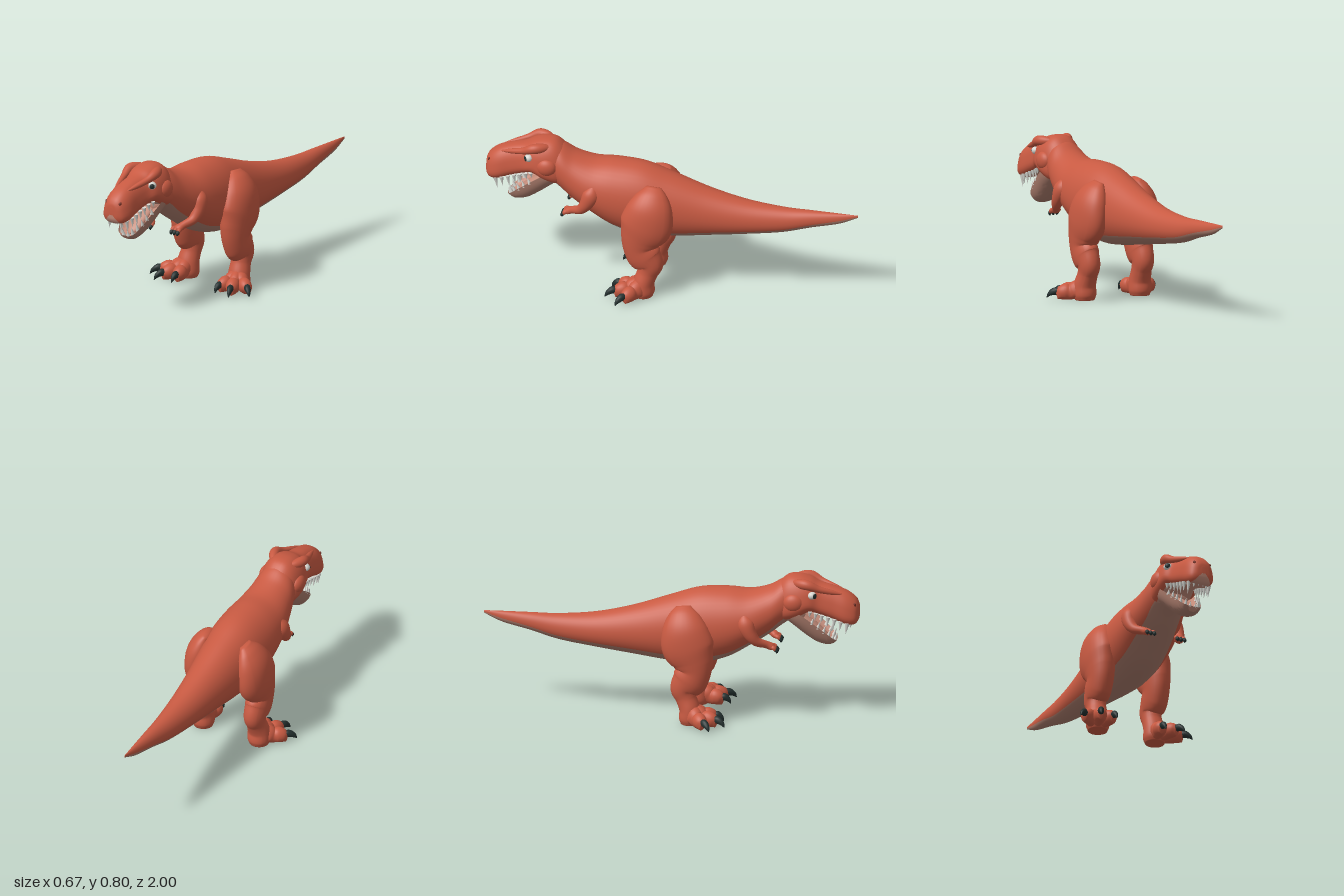
import * as THREE from 'three';
import { toCreasedNormals } from 'three/addons/utils/BufferGeometryUtils.js';

const mat = (name, color) => {
  const m = new THREE.MeshStandardMaterial({ color });
  m.name = name;
  return m;
};

export function createModel() {
  const model = new THREE.Group();
  model.name = 'dinosaur';
  const red = mat('red skin', 0xc85a42);
  const pale = mat('pale belly', 0xab7c6c);
  const pink = mat('mouth pink', 0xc48c7a);
  const ivory = mat('tooth ivory', 0xd6d6d0);
  const dark = mat('claw black', 0x24302f);
  const shade = mat('nostril brown', 0x7c3529);

  const add = (name, geometry, material) => {
    const mesh = new THREE.Mesh(geometry, material);
    mesh.name = name;
    model.add(mesh);
    return mesh;
  };

  // Loft smooth rings through sections [x, y, z, halfWidth, up, down, underAngle].
  // The first material covers the ring within underAngle of its bottom.
  function loft(sections, { steps = 6, under = 6, over = 18, fixed, square = 1, taper = 0 } = {}) {
    const curve = (f) => new THREE.CatmullRomCurve3(sections.map(f), false, 'catmullrom');
    const path = curve((s) => new THREE.Vector3(s[0], s[1], s[2]));
    const size = curve((s) => new THREE.Vector3(s[3], s[4] ?? s[3], s[5] ?? s[4] ?? s[3]));
    const angle = curve((s) => new THREE.Vector3(s[6] ?? 0.8, 0, 0));
    const rows = (sections.length - 1) * steps, n = 2 * under + over;
    const pos = [], low = [], high = [];
    const pw = (v) => Math.sign(v) * Math.abs(v) ** square;
    for (let i = 0; i <= rows; i++) {
      const t = i / rows, c = path.getPoint(t), r = size.getPoint(t), B = angle.getPoint(t).x;
      const T = fixed ?? path.getTangent(t);
      const side = new THREE.Vector3(1, 0, 0).addScaledVector(T, -T.x).normalize();
      const up = new THREE.Vector3().crossVectors(T, side);
      for (let j = 0; j < n; j++) {
        const th = j <= 2 * under
          ? -B + (B * j) / under
          : B + ((2 * Math.PI - 2 * B) * (j - 2 * under)) / over;
        const h = -pw(Math.cos(th));
        const w = pw(Math.sin(th)) * Math.max(r.x, 0.001) * (1 - taper * h);
        const p = c.clone().addScaledVector(side, w).addScaledVector(up, h * (h > 0 ? r.y : r.z));
        pos.push(p.x, Math.max(0, p.y), p.z);
      }
    }
    for (let i = 0; i < rows; i++) for (let j = 0; j < n; j++) {
      const a = i * n + j, b = i * n + ((j + 1) % n);
      (j < 2 * under ? low : high).push(a, b, b + n, a, b + n, a + n);
    }
    // End caps
    const ends = [path.getPoint(0), path.getPoint(1)];
    ends.forEach((c, k) => {
      const mid = pos.length / 3, base = k * rows * n;
      pos.push(c.x, Math.max(0, c.y), c.z);
      for (let j = 0; j < n; j++) {
        const a = base + j, b = base + ((j + 1) % n);
        high.push(mid, ...(k ? [a, b] : [b, a]));
      }
    });
    const g = new THREE.BufferGeometry();
    g.setAttribute('position', new THREE.Float32BufferAttribute(pos, 3));
    g.setIndex([...low, ...high]);
    g.addGroup(0, low.length, 0);
    g.addGroup(low.length, high.length, 1);
    g.computeVertexNormals();
    return g;
  }

  // Stretched sphere
  const blob = (name, m, p, r) => {
    const mesh = add(name, new THREE.SphereGeometry(1, 24, 16), m);
    mesh.position.set(...p);
    mesh.scale.set(...r);
    return mesh;
  };
  const forward = new THREE.Vector3(0, 0, 1);
  const slab = ([z, top, bottom, w, B], mid) => {
    const y = bottom + (top - bottom) * mid;
    return [0, y, z, w, top - y, y - bottom, B];
  };

  // Tail, trunk and neck in one skin: [z, top, bottom, halfWidth, bellyAngle]
  const trunk = [
    [-1, 0.522, 0.508, 0.002, 1.5], [-0.9, 0.522, 0.463, 0.019, 1.45], [-0.75, 0.521, 0.425, 0.04, 1.2],
    [-0.6, 0.521, 0.382, 0.06, 1.05], [-0.4, 0.54, 0.35, 0.086, 0.98], [-0.2, 0.587, 0.322, 0.112, 0.92],
    [0, 0.655, 0.295, 0.142, 0.85], [0.15, 0.702, 0.29, 0.162, 0.8], [0.3, 0.711, 0.33, 0.166, 0.75],
    [0.42, 0.705, 0.4, 0.155, 0.75], [0.52, 0.73, 0.465, 0.132, 0.8], [0.59, 0.77, 0.52, 0.113, 0.9],
    [0.65, 0.785, 0.56, 0.09, 0.9],
  ];
  add('body', loft(trunk.map((s) => slab(s, 0.46)),
    { fixed: forward, under: 8, over: 32 }), [pale, red]);

  // Upper head with the mouth roof underneath
  const skull = [
    [0.56, 0.742, 0.56, 0.085], [0.62, 0.793, 0.555, 0.108], [0.68, 0.8, 0.575, 0.114],
    [0.74, 0.785, 0.605, 0.104], [0.79, 0.76, 0.592, 0.084], [0.86, 0.742, 0.568, 0.078],
    [0.93, 0.717, 0.541, 0.079], [0.975, 0.685, 0.54, 0.066], [0.995, 0.655, 0.562, 0.042],
    [1, 0.628, 0.59, 0.012],
  ];
  add('upperHead', loft(skull.map((s) => slab([...s, 0.6], 0.45)),
    { fixed: forward, under: 6, over: 32, square: 0.78, taper: 0.18 }), [pink, red]);

  // Lower jaw: a trough with a pale outside
  const rim = [
    [0, 0.635, 0.645, 0.098, -0.03, 0.085, 1.57], [0, 0.6, 0.7, 0.099, -0.035, 0.09, 1.57],
    [0, 0.55, 0.765, 0.088, -0.04, 0.092, 1.57], [0, 0.5, 0.825, 0.073, -0.04, 0.085, 1.57],
    [0, 0.463, 0.865, 0.054, -0.025, 0.06, 1.57], [0, 0.448, 0.882, 0.028, -0.01, 0.03, 1.57],
  ];
  add('lowerJaw', toCreasedNormals(loft(rim, { under: 12, over: 16, square: 0.85 }), 0.9), [pale, pink]);
  blob('throat', pink, [0, 0.575, 0.67], [0.08, 0.055, 0.04]);
  add('tongue', loft([[0, 0.565, 0.68, 0.05, 0.02], [0, 0.52, 0.75, 0.048, 0.02],
    [0, 0.465, 0.815, 0.038, 0.018], [0, 0.447, 0.84, 0.008, 0.006]]), pink);

  // A tooth rooted at p and pointing along d
  const tooth = (name, p, d, length, r) => {
    const g = new THREE.ConeGeometry(r, length, 10);
    g.translate(0, length / 2 - 0.008, 0);
    const mesh = add(name, g, ivory);
    mesh.position.set(...p);
    mesh.quaternion.setFromUnitVectors(new THREE.Vector3(0, 1, 0), new THREE.Vector3(...d).normalize());
  };

  for (const s of [1, -1]) {
    const mirror = (list) => list.map(([x, ...rest]) => [s * x, ...rest]);

    // Face: brow ridge, jowl, eye, nostril
    add('browRidge', loft(mirror([
      [0.045, 0.768, 0.645, 0.012], [0.07, 0.768, 0.69, 0.025], [0.084, 0.765, 0.735, 0.026],
      [0.074, 0.742, 0.79, 0.018], [0.054, 0.722, 0.86, 0.013], [0.042, 0.71, 0.91, 0.004],
    ])), red);
    blob('jowl', red, [s * 0.094, 0.668, 0.66], [0.036, 0.05, 0.055]);
    blob('eyeball', ivory, [s * 0.086, 0.71, 0.757], [0.023, 0.021, 0.023]);
    const pupil = add('pupil', new THREE.SphereGeometry(0.0245, 20, 8, 0, Math.PI * 2, 0, 0.62), dark);
    pupil.position.set(s * 0.086, 0.71, 0.757);
    pupil.quaternion.setFromUnitVectors(new THREE.Vector3(0, 1, 0),
      new THREE.Vector3(s * 0.6, 0, 0.8));
    const nostril = blob('nostril', shade, [s * 0.043, 0.652, 0.978], [0.008, 0.014, 0.008]);
    nostril.rotation.z = s * -0.4;

    // Teeth along both lips
    [[0.014, 0.965, 0.025], [0.036, 0.957, 0.035], [0.06, 0.94, 0.068], [0.069, 0.907, 0.055],
      [0.07, 0.873, 0.062], [0.071, 0.84, 0.05], [0.073, 0.807, 0.048], [0.077, 0.775, 0.04],
      [0.084, 0.745, 0.032]].forEach(([x, z, len]) =>
      tooth('upperTooth', [s * x, 0.548 + Math.max(0, 0.94 - z) * 0.32, z], [0, -1, -0.15], len, 0.012));
    [[0.015, 0.453, 0.872, 0.032], [0.036, 0.463, 0.86, 0.045], [0.054, 0.482, 0.84, 0.05],
      [0.066, 0.505, 0.815, 0.045], [0.074, 0.53, 0.787, 0.042], [0.082, 0.557, 0.755, 0.038],
    ].forEach(([x, y, z, len]) => tooth('lowerTooth', [s * x, y, z], [0, 1, 0.35], len, 0.0105));

    // Small arm with three clawed fingers
    add('arm', loft(mirror([
      [0.12, 0.6, 0.4, 0.02], [0.137, 0.555, 0.41, 0.038, 0.045], [0.142, 0.5, 0.435, 0.034, 0.036],
      [0.133, 0.458, 0.468, 0.026], [0.108, 0.435, 0.515, 0.02], [0.094, 0.42, 0.542, 0.026, 0.019],
      [0.09, 0.41, 0.555, 0.012],
    ])), red);
    for (const k of [-1, 0, 1]) {
      const x = 0.09 + k * 0.021;
      add('finger', loft(mirror([[0.09 + k * 0.012, 0.422, 0.535, 0.01], [x, 0.418, 0.555, 0.012],
        [x, 0.405, 0.566, 0.009]]), { over: 8, under: 3 }), red);
      add('fingerClaw', loft(mirror([[x, 0.413, 0.562, 0.009], [x, 0.4, 0.572, 0.01],
        [x, 0.388, 0.572, 0.002]]), { over: 8, under: 3 }), dark);
    }

    // Leg from hip to heel
    add('leg', loft(mirror([
      [0.11, 0.63, 0.075, 0.02, 0.04], [0.133, 0.58, 0.08, 0.055, 0.09], [0.153, 0.51, 0.09, 0.077, 0.125],
      [0.164, 0.42, 0.108, 0.079, 0.14], [0.165, 0.34, 0.135, 0.072, 0.11], [0.166, 0.285, 0.14, 0.066, 0.09],
      [0.167, 0.235, 0.115, 0.064, 0.095], [0.166, 0.19, 0.085, 0.057, 0.072], [0.166, 0.14, 0.097, 0.053, 0.056],
      [0.17, 0.08, 0.118, 0.06, 0.056], [0.17, 0.03, 0.12, 0.062, 0.06], [0.17, 0, 0.12, 0.052, 0.05],
    ]), { under: 8, over: 20 }), red);

    // Three toes, each from knuckle to claw tip
    [[0.145, 0.245, 0.145, 0.295], [0.222, 0.255, 0.249, 0.312], [0.282, 0.198, 0.332, 0.24]]
      .forEach(([x, z, tx, tz]) => {
        const at = (f, y, w, h) => [0.17 + (x - 0.17) * f, y, 0.12 + (z - 0.12) * f, w, h, y];
        add('toe', loft(mirror([
          at(0, 0.07, 0.035, 0.045), at(0.35, 0.058, 0.038, 0.044), at(0.55, 0.046, 0.033, 0.038),
          at(0.75, 0.043, 0.037, 0.042), at(0.95, 0.038, 0.031, 0.034), at(1.1, 0.032, 0.014, 0.015),
        ])), red);
        const c = (f, y, r) => [x + (tx - x) * f, y, z + (tz - z) * f, r * 0.85, r];
        add('toeClaw', loft(mirror([c(-0.05, 0.042, 0.019), c(0.35, 0.044, 0.02),
          c(0.75, 0.03, 0.013), c(1, 0.01, 0.002)]), { over: 10, under: 4 }), dark);
      });
  }
  return model;
}
